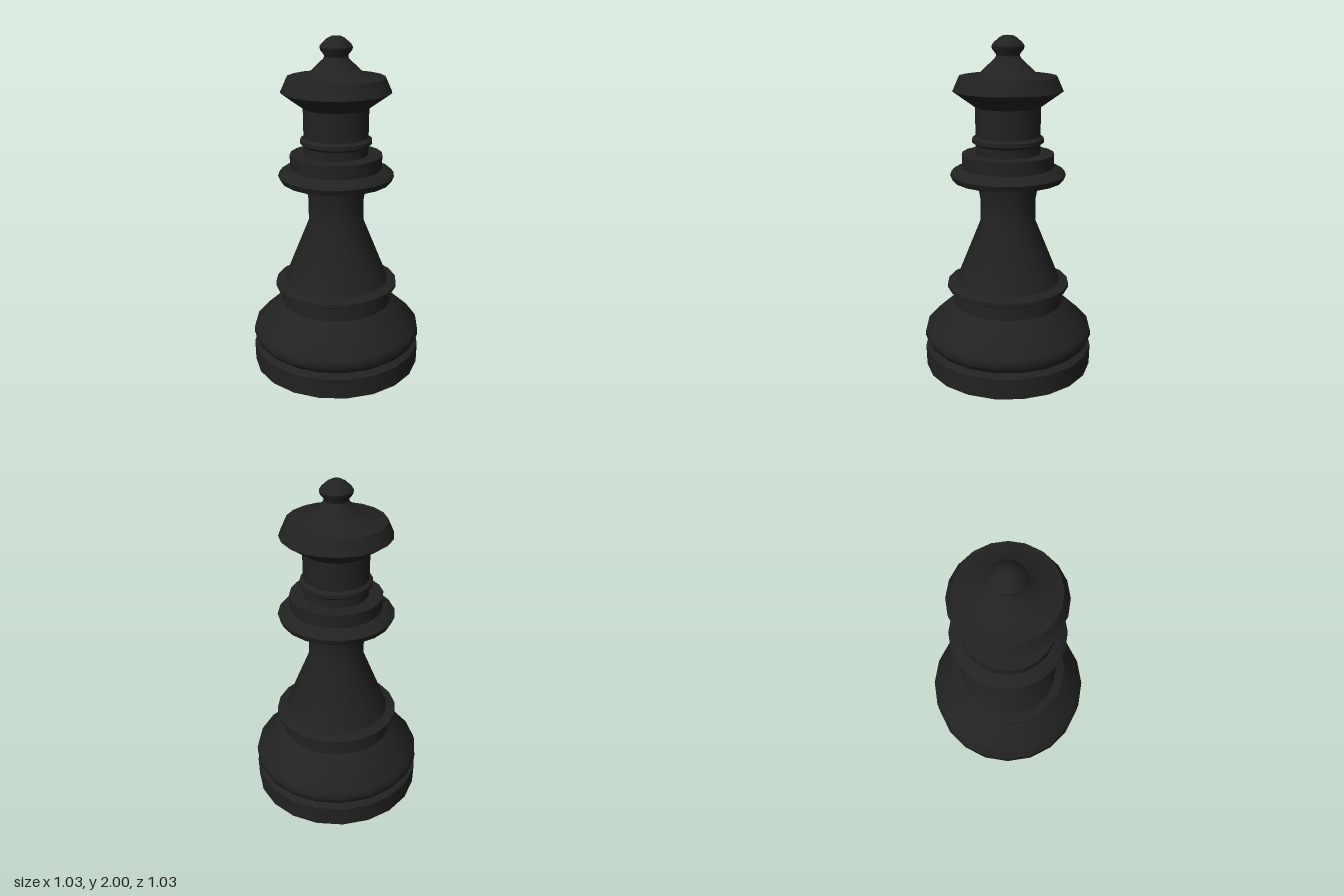
import * as THREE from 'three';
import { toCreasedNormals } from 'three/addons/utils/BufferGeometryUtils.js';

export function createModel() {
  const group = new THREE.Group();
  const black = new THREE.MeshStandardMaterial({ color: 0x222222 });
  black.name = 'black';

  // Turned part from a bottom-to-top profile of [radius, height]
  function turn(name, profile, sides = 20) {
    const points = profile.map(([r, y]) => new THREE.Vector2(r, y));
    const geometry = toCreasedNormals(new THREE.LatheGeometry(points, sides), 0.7);
    const mesh = new THREE.Mesh(geometry, black);
    mesh.name = name;
    group.add(mesh);
  }

  // Foot with flat underside and groove above
  turn('foot', [[0, 0], [0.51, 0], [0.513, 0.125], [0.5, 0.135], [0.475, 0.147]]);

  // Rounded base sloping in to a short neck
  turn('base', [
    [0.475, 0.147], [0.497, 0.165], [0.513, 0.195], [0.513, 0.22], [0.505, 0.25],
    [0.335, 0.405], [0.333, 0.485],
  ]);

  // Thin flange above the base
  turn('baseRing', [[0.333, 0.485], [0.37, 0.505], [0.37, 0.527], [0.315, 0.543]]);

  // Tapered stem
  turn('stem', [[0.315, 0.543], [0.165, 0.915], [0.165, 1.05], [0.185, 1.17]]);

  // Wide collar with a stepped upper tier
  turn('collar', [
    [0.185, 1.17], [0.327, 1.17], [0.342, 1.205], [0.325, 1.225], [0.27, 1.245],
    [0.272, 1.325], [0.19, 1.328],
  ]);

  // Upper neck with a small bead
  turn('neck', [
    [0.19, 1.328], [0.19, 1.378], [0.21, 1.393], [0.21, 1.415], [0.19, 1.43], [0.192, 1.598],
  ]);

  // Flared crown with a conical cap
  turn('crown', [
    [0.192, 1.598], [0.32, 1.69], [0.283, 1.772], [0.165, 1.787], [0.075, 1.872], [0.066, 1.89],
  ]);

  // Rounded finial
  turn('finial', [
    [0.066, 1.88], [0.07, 1.897], [0.09, 1.922], [0.094, 1.94], [0.083, 1.957],
    [0.052, 1.985], [0.03, 1.997], [0, 2],
  ], 32);

  return group;
}
